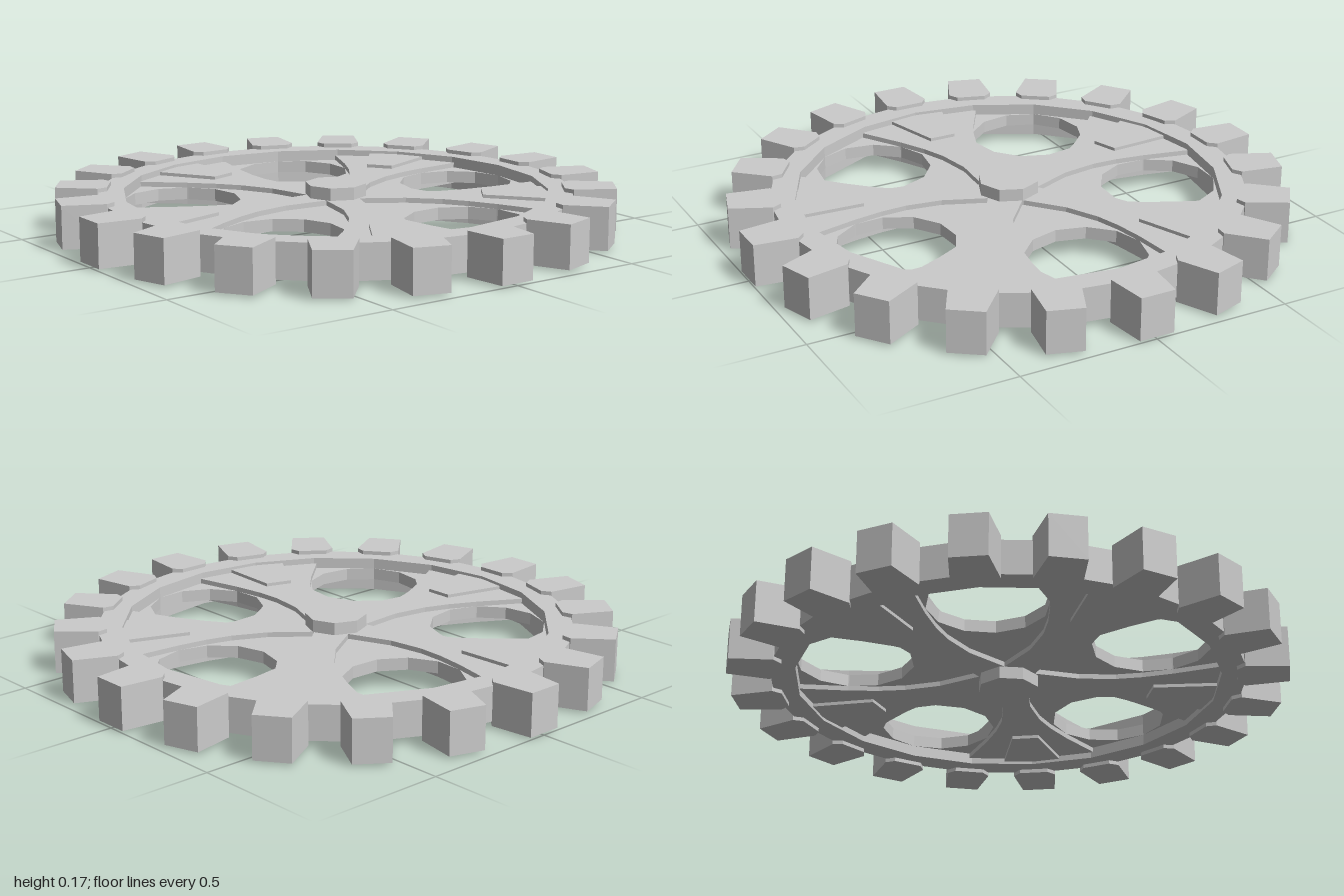
import * as THREE from 'three';

const MID = 0.085; // mid-height of the gear
const TEETH = 20;
const SPOKES = 5;

const material = new THREE.MeshStandardMaterial({ color: 0xcccccc, flatShading: true });

// Flat slab from a plan shape (shape y becomes z), symmetric about mid-height
function slab(shape, half) {
  return new THREE.ExtrudeGeometry(shape, { depth: half * 2, bevelEnabled: false })
    .translate(0, 0, -half)
    .rotateX(Math.PI / 2)
    .translate(0, MID, 0);
}

// Regular polygon as counter-clockwise points
function ring(radius, sides, cx = 0, cy = 0, turn = 0) {
  return Array.from({ length: sides }, (_, i) => {
    const a = turn - (i / sides) * Math.PI * 2;
    return new THREE.Vector2(cx + radius * Math.sin(a), cy + radius * Math.cos(a));
  });
}

// Closed shape mirrored across the radial axis from one side's [halfWidth, radius] points
function mirrored(side) {
  const right = side.map(([x, r]) => new THREE.Vector2(x, r));
  const left = side.map(([x, r]) => new THREE.Vector2(-x, r)).reverse();
  return new THREE.Shape([...right, ...left]);
}

function add(parent, name, geometry, angle = 0) {
  const mesh = new THREE.Mesh(geometry, material);
  mesh.name = name;
  mesh.rotation.y = angle;
  parent.add(mesh);
}

export function createModel() {
  const gear = new THREE.Group();
  gear.name = 'gear';

  // Outer rim, its corners hidden under the teeth
  const rim = new THREE.Shape(ring(0.855, TEETH));
  rim.holes.push(new THREE.Path(ring(0.762, TEETH)));
  add(gear, 'rim', slab(rim, 0.0625));

  // Thin web plate with five round openings
  const web = new THREE.Shape(ring(0.785, TEETH));
  for (let i = 0; i < SPOKES; i++) {
    const a = Math.PI + (i / SPOKES) * Math.PI * 2;
    web.holes.push(new THREE.Path(ring(0.21, 12, 0.552 * Math.sin(a), 0.552 * Math.cos(a), a)));
  }
  add(gear, 'webPlate', slab(web, 0.022));

  // Flared spokes, each with a raised tapered pad by the rim
  const spoke = slab(mirrored([
    [0.001, 0], [0.062, 0.085], [0.05, 0.25], [0.072, 0.38], [0.105, 0.47],
    [0.155, 0.57], [0.25, 0.73], [0.22, 0.76], [0.12, 0.775],
  ]), 0.04);
  const pad = slab(mirrored([[0.05, 0.525], [0.112, 0.76]]), 0.052);
  for (let i = 0; i < SPOKES; i++) {
    const a = (i / SPOKES) * Math.PI * 2;
    add(gear, 'spoke', spoke, a);
    add(gear, 'spokePad', pad, a);
  }

  // Teeth
  const tooth = slab(mirrored([[0.055, 0.815], [0.082, 0.845], [0.064, 1]]), 0.077);
  for (let i = 0; i < TEETH; i++) add(gear, 'tooth', tooth, (i / TEETH) * Math.PI * 2);

  // Hub
  add(gear, 'hub', slab(new THREE.Shape(ring(0.11, 8)), MID));

  return gear;
}
